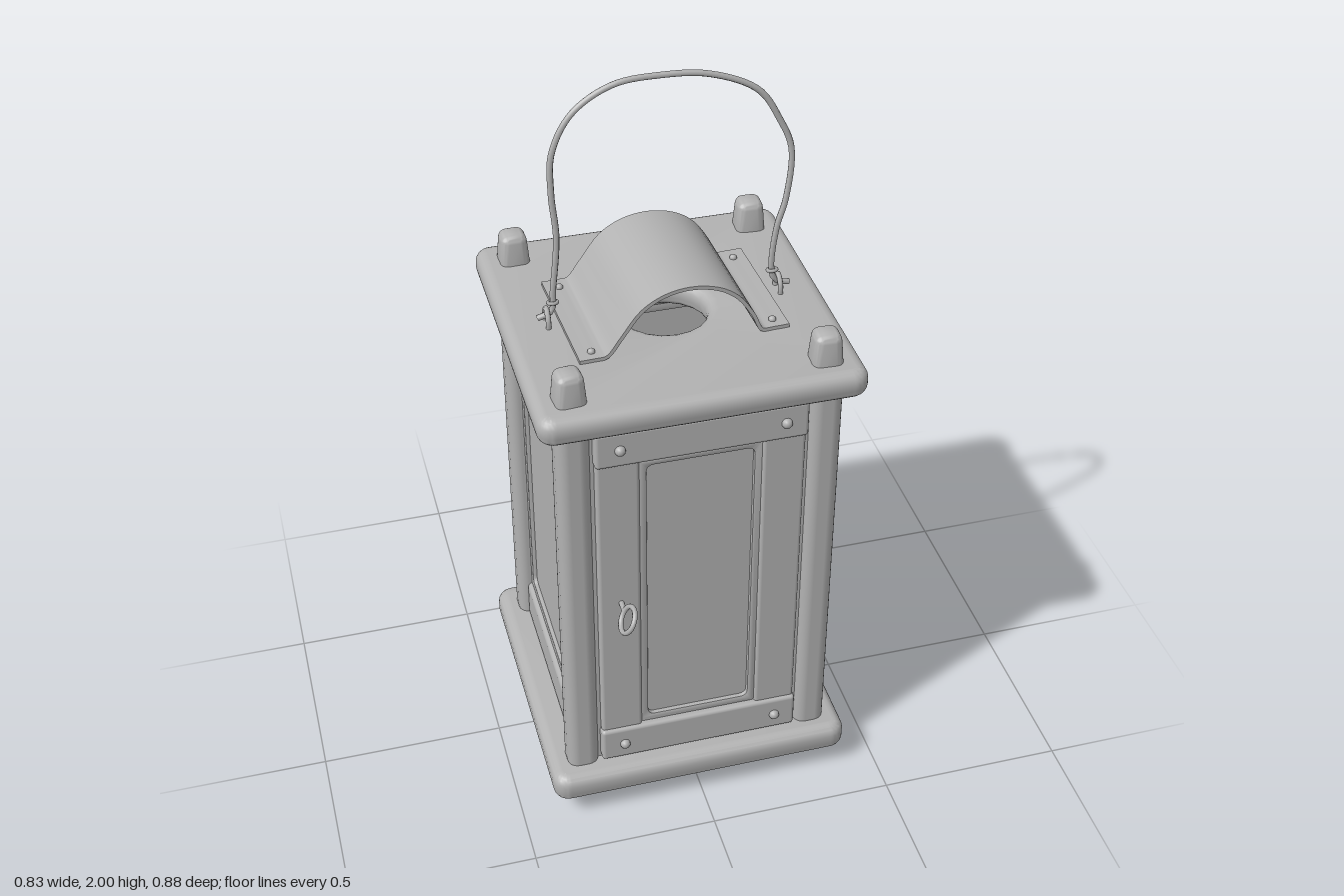
import * as THREE from 'three';
import { toCreasedNormals } from 'three/addons/utils/BufferGeometryUtils.js';
import { RoundedBoxGeometry } from 'three/addons/geometries/RoundedBoxGeometry.js';

const ZC = -0.027; // centre of the lantern body, front to back
const P = 0.322;   // post offset from that centre
const grey = new THREE.MeshStandardMaterial({ color: 0xb2b2b2 });
grey.name = 'plain grey';

function add(parent, name, geo, x = 0, y = 0, z = 0) {
  const m = new THREE.Mesh(geo, grey);
  m.name = name;
  m.position.set(x, y, z);
  parent.add(m);
  return m;
}

const rbox = (w, h, d, r) => new RoundedBoxGeometry(w, h, d, 3, r);

// Rounded rectangle outline between two corners
function roundRect(C, x0, y0, x1, y1, r) {
  const s = new C();
  s.moveTo(x0 + r, y0);
  s.lineTo(x1 - r, y0);
  s.quadraticCurveTo(x1, y0, x1, y0 + r);
  s.lineTo(x1, y1 - r);
  s.quadraticCurveTo(x1, y1, x1 - r, y1);
  s.lineTo(x0 + r, y1);
  s.quadraticCurveTo(x0, y1, x0, y1 - r);
  s.lineTo(x0, y0 + r);
  s.quadraticCurveTo(x0, y0, x0 + r, y0);
  return s;
}

// Square board with rounded edges, optionally with a round vent
function slab(height, hole) {
  const b = 0.03, h = 0.414 - b;
  const s = roundRect(THREE.Shape, -h, -h, h, h, 0.015);
  if (hole) s.holes.push(new THREE.Path().absarc(0, 0, hole + b, 0, Math.PI * 2, true));
  const g = new THREE.ExtrudeGeometry(s, {
    depth: height - 2 * b, bevelThickness: b, bevelSize: b, bevelSegments: 5, curveSegments: 10,
  });
  g.translate(0, 0, b).rotateX(-Math.PI / 2);
  return toCreasedNormals(g, 0.6);
}

// Stub that narrows towards one end
function stub(h, bottom, top) {
  const g = rbox(1, h, 1, 0.02), p = g.attributes.position;
  for (let i = 0; i < p.count; i++) {
    const k = THREE.MathUtils.lerp(bottom, top, p.getY(i) / h + 0.5);
    // restore the rounded corners at the reduced width
    const f = (v) => Math.sign(v) * (k / 2 - Math.min(0.02, 0.5 - Math.abs(v)));
    p.setX(i, f(p.getX(i)));
    p.setZ(i, f(p.getZ(i)));
  }
  return toCreasedNormals(g, 0.7);
}

// Thin bead around a pane, and the pane itself
function pane(parent, hw, y0, y1, rim, z) {
  const s = roundRect(THREE.Shape, -hw - rim, y0 - rim, hw + rim, y1 + rim, 0.01);
  s.holes.push(roundRect(THREE.Path, -hw, y0, hw, y1, 0.025));
  const g = new THREE.ExtrudeGeometry(s, { depth: 0.024, bevelThickness: 0.004, bevelSize: 0.004, bevelSegments: 2 });
  add(parent, 'paneBead', toCreasedNormals(g, 0.6), 0, 0, z - 0.028);
  add(parent, 'glassPane', new THREE.BoxGeometry(2 * hw + rim, y1 - y0 + rim, 0.01), 0, (y0 + y1) / 2, z - 0.017);
}

const tube = (pts, r, n) => new THREE.TubeGeometry(
  new THREE.CatmullRomCurve3(pts.map((p) => new THREE.Vector3(...p))), n, r, 8);

export function createModel() {
  const model = new THREE.Group();
  model.name = 'lantern';

  // Base and roof boards
  add(model, 'baseBoard', slab(0.085), 0, 0.06, ZC);
  add(model, 'roofBoard', slab(0.076, 0.11), 0, 1.279, ZC);

  // Corner posts with feet and top stubs
  [[-1, -1], [1, -1], [-1, 1], [1, 1]].forEach(([sx, sz], i) => {
    const x = sx * P, z = ZC + sz * P, turn = [0.03, -0.05, 0.08, -0.05][i];
    add(model, 'post', rbox(0.086, 1.18, 0.086, 0.03), x, 0.71, z);
    add(model, 'foot', stub(0.1, 0.064, 0.074), x, 0.05, z).rotation.y = turn;
    add(model, 'postTop', stub(0.13, 0.085, 0.066), x, 1.372, z).rotation.y = turn;
  });

  // Glazed sides: left, back and right
  [1, 2, 3].forEach((q) => {
    const side = new THREE.Group();
    side.name = ['leftSide', 'backSide', 'rightSide'][q - 1];
    side.position.z = ZC;
    side.rotation.y = q * Math.PI / 2;
    add(side, 'topRail', rbox(0.575, 0.12, 0.05, 0.015), 0, 1.216, 0.315);
    add(side, 'bottomRail', rbox(0.575, 0.12, 0.05, 0.015), 0, 0.198, 0.315);
    pane(side, 0.262, 0.275, 1.14, 0.022, 0.327);
    model.add(side);
  });

  // Front door
  const door = new THREE.Group();
  door.name = 'door';
  for (const y of [1.213, 0.205]) {
    add(door, 'doorRail', rbox(0.545, 0.105, 0.05, 0.01), 0, y, 0.318);
    for (const x of [-0.21, 0.213]) add(door, 'rivet', new THREE.SphereGeometry(0.014, 12, 8), x, y, 0.345);
  }
  for (const s of [-1, 1]) {
    add(door, 'doorStile', rbox(0.112, 0.92, 0.042, 0.01), s * 0.214, 0.71, 0.312);
    add(door, 'jamb', new THREE.BoxGeometry(0.03, 1.14, 0.03), s * 0.28, 0.71, 0.3);
  }
  pane(door, 0.143, 0.275, 1.14, 0.016, 0.325);

  // Door pull
  const pull = new THREE.Group();
  pull.name = 'doorPull';
  pull.position.set(-0.211, 0.71, 0.4);
  pull.rotation.z = -0.5;
  add(pull, 'pullRing', new THREE.TorusGeometry(0.035, 0.007, 8, 24)).rotation.y = Math.PI / 2;
  add(pull, 'pullStem', new THREE.CylinderGeometry(0.007, 0.007, 0.05, 8), 0, 0, -0.058).rotation.x = Math.PI / 2;
  door.add(pull);
  model.add(door);

  // Arched vent cover of bent sheet with flat flanges
  const arch = new THREE.CatmullRomCurve3([
    [-0.272, 1.357], [-0.235, 1.357], [-0.2, 1.36], [-0.16, 1.41], [-0.11, 1.475], [-0.055, 1.507],
    [0.01, 1.517], [0.08, 1.502], [0.13, 1.468], [0.17, 1.41], [0.195, 1.36], [0.23, 1.357], [0.27, 1.357],
  ].map(([x, y]) => new THREE.Vector3(x, y, 0)));
  const outer = [], inner = [];
  for (let i = 0; i <= 48; i++) {
    const p = arch.getPoint(i / 48), t = arch.getTangent(i / 48);
    inner.push(new THREE.Vector2(p.x, p.y));
    outer.push(new THREE.Vector2(p.x - t.y * 0.01, p.y + t.x * 0.01));
  }
  const sheet = new THREE.ExtrudeGeometry(new THREE.Shape([...inner, ...outer.reverse()]), { depth: 0.37, bevelEnabled: false });
  sheet.translate(0, 0, -0.185);
  const cover = new THREE.Group();
  cover.name = 'ventCover';
  cover.position.z = ZC;
  cover.rotation.y = 0.04;
  add(cover, 'ventSheet', toCreasedNormals(sheet, 0.6));
  for (const x of [-0.235, 0.235]) for (const z of [-0.145, 0.155])
    add(cover, 'coverRivet', new THREE.SphereGeometry(0.01, 10, 8), x, 1.368, z);
  model.add(cover);

  // Wire handle, hooked through a staple on each side
  add(model, 'handle', tube([
    [-0.325, 1.372, -0.034], [-0.29, 1.39, -0.03], [-0.284, 1.45, -0.03], [-0.27, 1.6, -0.032], [-0.278, 1.72, -0.035],
    [-0.272, 1.83, -0.039], [-0.22, 1.925, -0.044], [-0.12, 1.983, -0.05], [0, 1.991, -0.054],
    [0.12, 1.98, -0.05], [0.24, 1.925, -0.044], [0.295, 1.84, -0.039], [0.326, 1.76, -0.035],
    [0.316, 1.62, -0.032], [0.294, 1.54, -0.03], [0.284, 1.42, -0.03], [0.295, 1.385, -0.03], [0.332, 1.372, -0.03],
  ], 0.008, 96), 0, 0, 0);
  for (const s of [-1, 1]) {
    add(model, 'staple', tube([
      [0, 1.345, -0.022], [0, 1.38, -0.021], [0, 1.4, 0], [0, 1.38, 0.021], [0, 1.345, 0.022],
    ], 0.007, 20), s * 0.303, 0, -0.029);
    // wire end twisted round the handle
    const coil = add(model, 'wireCoil', new THREE.TorusGeometry(0.012, 0.005, 6, 14), s * 0.286, 1.415, -0.03);
    coil.rotation.x = Math.PI / 2 - 0.3;
  }
  return model;
}
